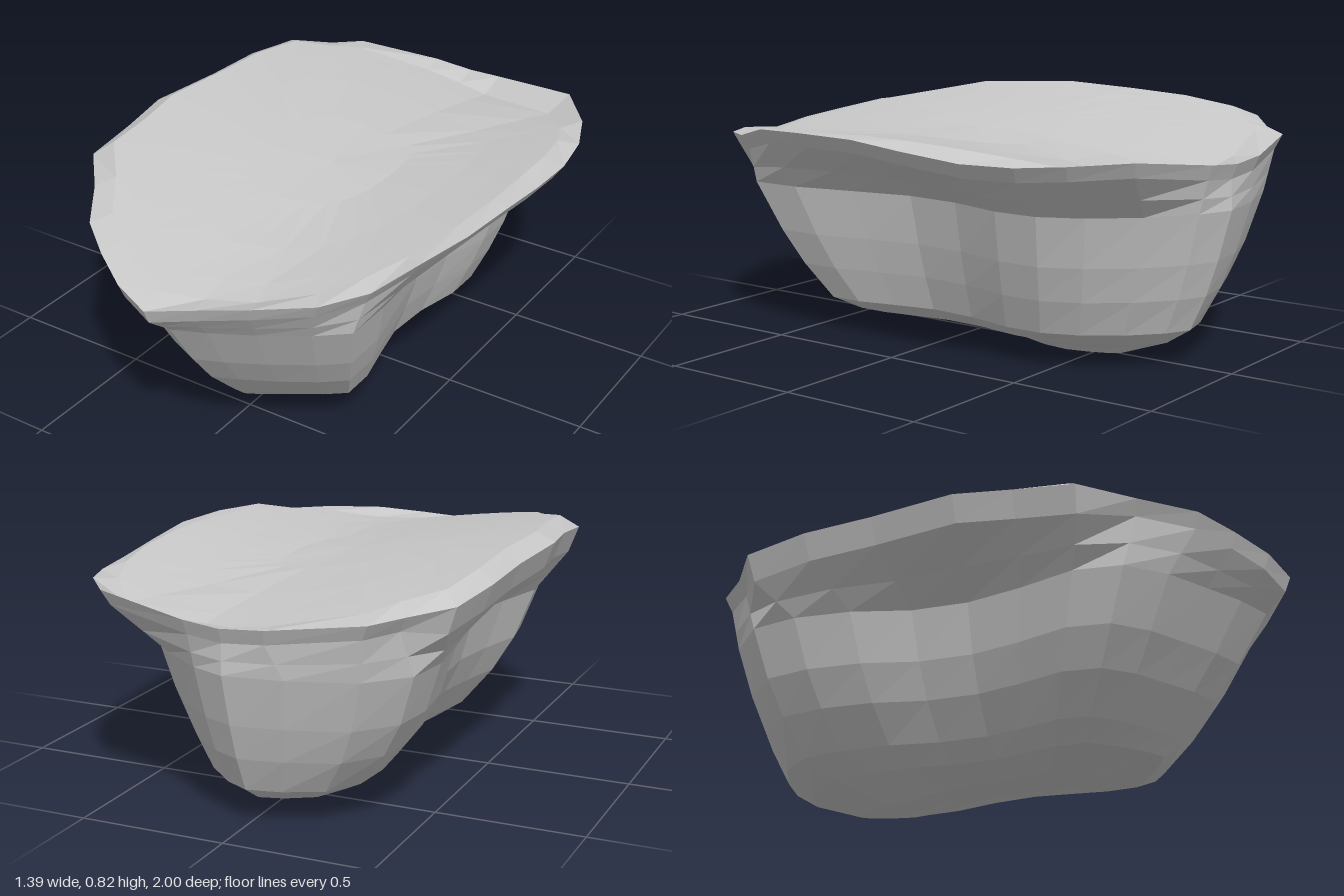
import * as THREE from 'three';

// Rim outline, from the nose round by the left side: x, y, z
const RIM = [
  [-0.02, 0.64, 1.0], [0.12, 0.66, 0.94], [0.28, 0.68, 0.87], [0.45, 0.69, 0.76], [0.55, 0.70, 0.62],
  [0.62, 0.74, 0.46], [0.67, 0.75, 0.24], [0.69, 0.75, 0], [0.69, 0.73, -0.2], [0.68, 0.71, -0.42],
  [0.65, 0.71, -0.6], [0.59, 0.72, -0.75], [0.46, 0.73, -0.91], [0.13, 0.69, -0.985], [0, 0.68, -1.0],
  [-0.15, 0.69, -1.0], [-0.45, 0.72, -0.93], [-0.53, 0.73, -0.83], [-0.65, 0.75, -0.73], [-0.68, 0.77, -0.5],
  [-0.68, 0.78, -0.25], [-0.70, 0.79, 0.05], [-0.67, 0.78, 0.25], [-0.66, 0.76, 0.46], [-0.52, 0.75, 0.62],
  [-0.4, 0.73, 0.79], [-0.28, 0.7, 0.88], [-0.15, 0.67, 0.96],
];

// Half plans of the underside, nose to back: two lobes with a waist
const LEFT = [
  [0.22, 0.95], [0.5, 0.87], [0.8, 0.77], [1, 0.68], [1, 0.48], [0.9, 0.24], [0.81, 0],
  [0.84, -0.2], [0.95, -0.4], [0.95, -0.56], [0.81, -0.7], [0.56, -0.84], [0.25, -0.95],
];
const RIGHT = [
  [0.22, 0.94], [0.45, 0.85], [0.7, 0.75], [0.9, 0.62], [0.95, 0.44], [0.86, 0.22], [0.8, 0],
  [0.83, -0.2], [0.95, -0.4], [1, -0.6], [0.96, -0.77], [0.74, -0.9], [0.35, -0.97],
];
const PLAN = [[0, 1], ...LEFT, [0, -1], ...RIGHT.map(([x, z]) => [-x, z]).reverse()];

// Levels below the lip: height, reach to left / right / front / back
const LEVELS = [
  { y: 0.53, l: 0.485, r: 0.55, f: 0.905, b: 0.985 },
  { y: 0.36, l: 0.435, r: 0.49, f: 0.8, b: 0.94 },
  { y: 0.24, l: 0.39, r: 0.42, f: 0.71, b: 0.9 },
  { y: 0.12, l: 0.335, r: 0.32, f: 0.59, b: 0.845 },
  { y: 0.065, l: 0.23, r: 0.23, f: 0.53, b: 0.76 },
  { y: 0, l: 0.08, r: 0.08, f: 0.32, b: 0.58 },
];

// Dished top, lowest a little left of the middle
const topHeight = (x, z) => 0.685 + 0.165 * Math.hypot(x - 0.2, 0.1) - 0.075 * z * z;
const topRing = (s) => RIM.map(([x, , z]) => [x * s, topHeight(x * s, z * s), z * s]);

// Slightly tucked lip under the rim, thicker on the right
const lipRing = () => RIM.map(([x, y, z]) => [x * 0.95, y - (x < -0.6 ? 0.09 : 0.05), z * 0.98]);

const lowerRing = ({ y, l, r, f, b }) => PLAN.map(([px, pz]) => {
  const z = pz * (pz > 0 ? f : b);
  const lift = y === 0 ? 0.035 * THREE.MathUtils.smoothstep(z, -0.42, -0.1) : 0;
  return [px * (px > 0 ? l : r), y + lift, z];
});

// Ring part way between two others
const between = (a, b, t) => a.map((p, i) => p.map((v, k) => v + (b[i][k] - v) * t));

// Skin stacked rings from top to bottom and close both ends with fans
function skinRings(rings, topPoint, bottomPoint) {
  const n = rings[0].length;
  const pos = [];
  const tri = (a, b, c) => pos.push(...a, ...b, ...c);
  for (let i = 0; i < n; i++) {
    const j = (i + 1) % n;
    tri(topPoint, rings[0][i], rings[0][j]);
    for (let k = 0; k < rings.length - 1; k++) {
      const a = rings[k], b = rings[k + 1];
      tri(b[i], b[j], a[j]);
      tri(b[i], a[j], a[i]);
    }
    const last = rings[rings.length - 1];
    tri(bottomPoint, last[j], last[i]);
  }
  const geo = new THREE.BufferGeometry();
  geo.setAttribute('position', new THREE.Float32BufferAttribute(pos, 3));
  geo.computeVertexNormals();
  return geo;
}

export function createModel() {
  const group = new THREE.Group();
  group.name = 'rock';
  const stone = new THREE.MeshStandardMaterial({ color: 0xc8c8c8, flatShading: true });
  stone.name = 'stone grey';

  const lip = lipRing();
  const lower = LEVELS.map(lowerRing);
  const rings = [
    topRing(0.3), topRing(0.6), topRing(0.8), topRing(0.91), RIM,
    lip, between(lip, lower[0], 0.55), ...lower,
  ];
  const body = new THREE.Mesh(skinRings(rings, [0, topHeight(0, 0), 0], [0, 0.035, -0.1]), stone);
  body.name = 'rockBody';
  group.add(body);
  return group;
}
